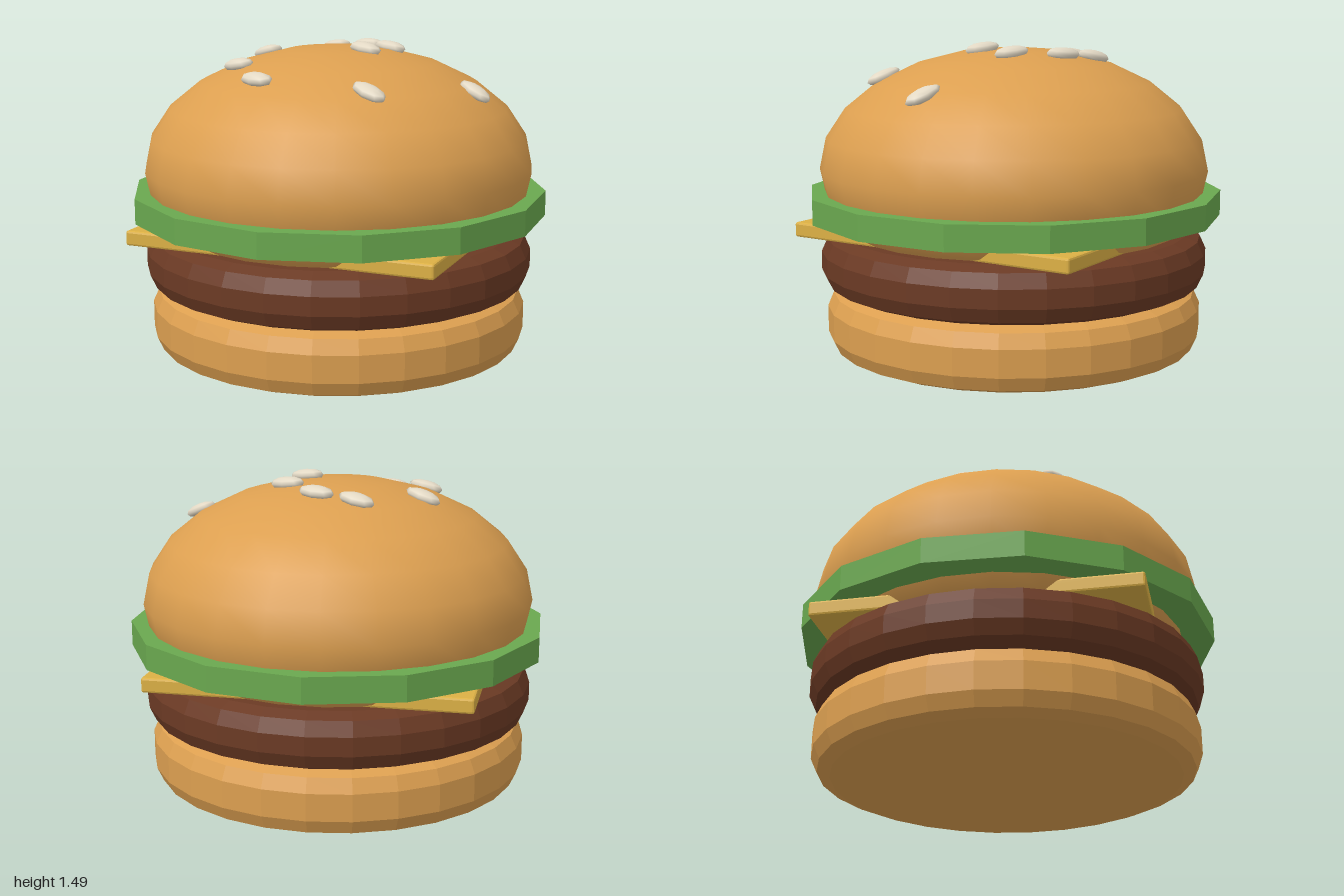
import * as THREE from 'three';
import { RoundedBoxGeometry } from 'three/addons/geometries/RoundedBoxGeometry.js';

const material = (name, color, flatShading = false) => {
  const m = new THREE.MeshStandardMaterial({ color, flatShading });
  m.name = name;
  return m;
};

// Faceted disc with a rounded rim
function roundedDisc(radius, y0, y1, sides) {
  const steps = [[0.09, 0], [0.03, 0.025], [0, 0.09]];
  const points = [
    new THREE.Vector2(0, y0),
    ...steps.map(([inset, rise]) => new THREE.Vector2(radius - inset, y0 + rise)),
    ...steps.slice().reverse().map(([inset, rise]) => new THREE.Vector2(radius - inset, y1 - rise)),
    new THREE.Vector2(0, y1),
  ];
  return new THREE.LatheGeometry(points, sides);
}

export function createModel() {
  const group = new THREE.Group();
  group.name = 'burger';

  const bunColor = 0xdc9f50;
  const crust = material('toasted bun', bunColor);
  const crustFlat = material('faceted bun', bunColor, true);
  const meat = material('meat brown', 0x6b3a24, true);
  const cheeseYellow = material('cheese yellow', 0xdcb045, true);
  const green = material('lettuce green', 0x6aa84f, true);
  const cream = material('sesame cream', 0xe2d8c4);

  const add = (name, geometry, mat, x = 0, y = 0, z = 0) => {
    const mesh = new THREE.Mesh(geometry, mat);
    mesh.name = name;
    mesh.position.set(x, y, z);
    group.add(mesh);
    return mesh;
  };

  // Lower layers
  add('bottomBun', roundedDisc(0.91, 0, 0.308, 28), crustFlat);
  add('patty', roundedDisc(0.935, 0.31, 0.578, 28), meat);

  // Square slice turned so its corners poke out
  const cheese = add('cheeseSlice', new RoundedBoxGeometry(1.5, 0.07, 1.5, 1, 0.01), cheeseYellow, 0, 0.61, 0);
  cheese.rotation.y = 0.4;

  add('lettuce', new THREE.CylinderGeometry(1, 1, 0.12, 14), green, 0, 0.715, 0);

  // Domed top bun, its underside tucked into the layers below
  const rx = 0.937, ry = 0.58, domeY = 0.88;
  const dome = new THREE.SphereGeometry(1, 24, 9, 0, Math.PI * 2, 0, Math.PI * 0.75);
  add('topBun', dome, crust, 0, domeY, 0).scale.set(rx, ry, rx);

  // Sesame seeds resting on the dome, as x and z
  const seeds = [
    [-0.28, -0.26], [-0.08, -0.29], [0.15, -0.2], [0.65, -0.24], [0.18, 0],
    [-0.43, 0.07], [0.53, 0.33], [-0.23, 0.43], [0.05, 0.56],
  ];
  const seedGeometry = new THREE.SphereGeometry(1, 8, 6).scale(0.095, 0.03, 0.05);
  for (const [x, z] of seeds) {
    const y = domeY + ry * Math.sqrt(1 - (x * x + z * z) / (rx * rx)) + 0.007;
    const seed = add('sesameSeed', seedGeometry, cream, x, y, z);
    seed.rotation.set(z * 0.4, 0, -x * 0.6);
  }

  return group;
}
